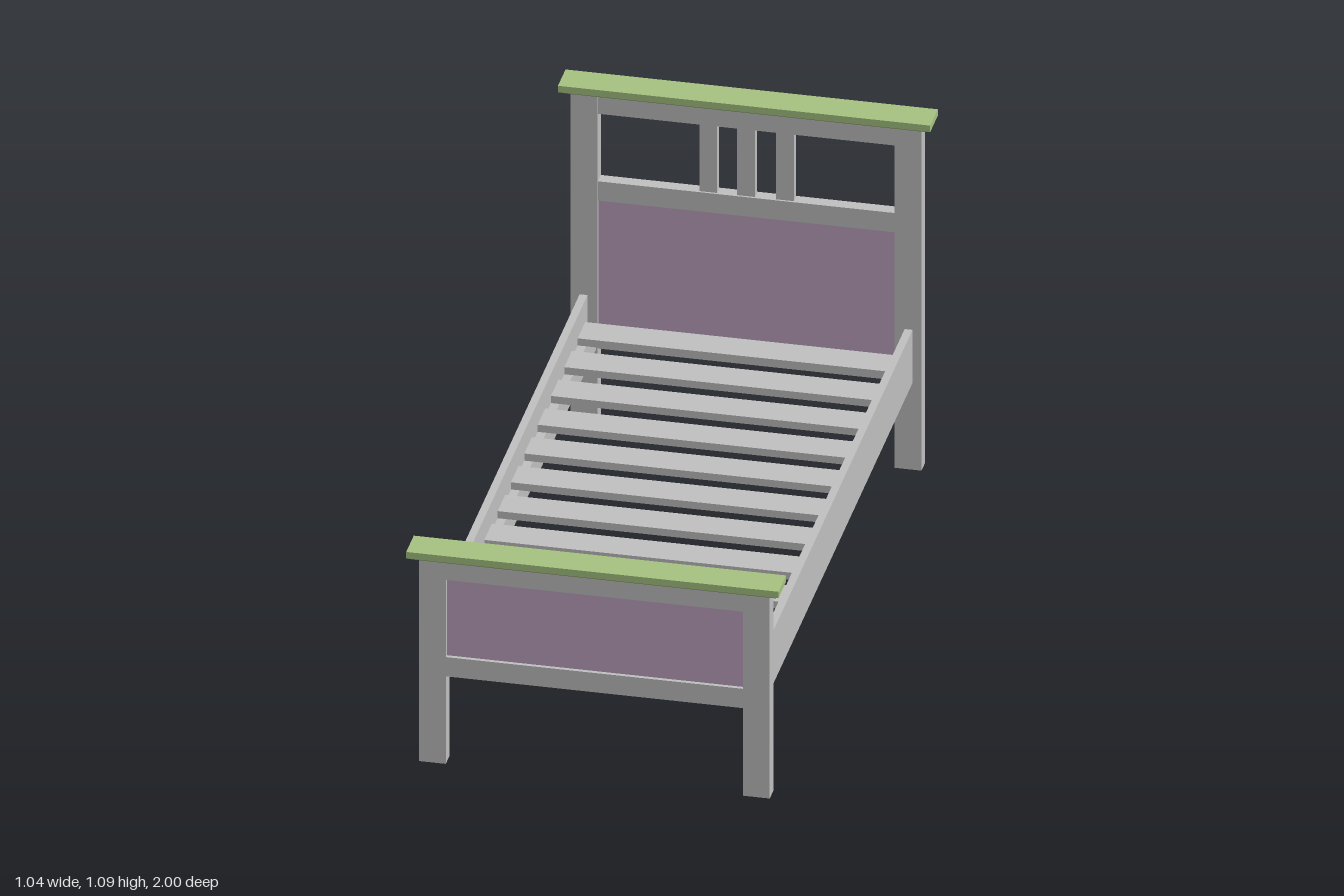
import * as THREE from 'three';

const frameGray = new THREE.MeshStandardMaterial({ color: 0xc2c2c2 });
const capGreen = new THREE.MeshStandardMaterial({ color: 0xa8c582 });
const panelPurple = new THREE.MeshStandardMaterial({ color: 0xbea4c2 });
frameGray.name = 'frameGray';
capGreen.name = 'capGreen';
panelPurple.name = 'panelPurple';

// Box given by its lower and upper limits on each axis
function box(parent, name, material, [x0, x1], [y0, y1], [z0, z1]) {
  const geometry = new THREE.BoxGeometry(x1 - x0, y1 - y0, z1 - z0);
  const mesh = new THREE.Mesh(geometry, material);
  mesh.position.set((x0 + x1) / 2, (y0 + y1) / 2, (z0 + z1) / 2);
  mesh.name = name;
  parent.add(mesh);
  return mesh;
}

const around = (centre, size) => [centre - size / 2, centre + size / 2];

// Cap board with a chamfered underside
function addCap(parent, y) {
  const cap = new THREE.Group();
  cap.name = 'cap';
  box(cap, 'capBoard', capGreen, [-0.52, 0.52], [y + 0.01, y + 0.03], [-0.0475, 0.0475]);
  const chamfer = box(cap, 'capChamfer', capGreen, [-0.52, 0.52], [y, y + 0.01], [-0.0475, 0.0475]);
  const p = chamfer.geometry.attributes.position;
  for (let i = 0; i < p.count; i++) {
    if (p.getY(i) < 0) {
      p.setX(i, p.getX(i) - Math.sign(p.getX(i)) * 0.015);
      p.setZ(i, p.getZ(i) - Math.sign(p.getZ(i)) * 0.015);
    }
  }
  chamfer.geometry = chamfer.geometry.toNonIndexed();
  chamfer.geometry.computeVertexNormals();
  parent.add(cap);
}

// Headboard or footboard: two posts, cross rails, a panel and a cap
function addEndBoard(parent, name, z, height, railBottoms, panelTop) {
  const board = new THREE.Group();
  board.name = name;
  board.position.z = z;
  for (const side of [-1, 1]) {
    box(board, side > 0 ? 'leftPost' : 'rightPost', frameGray,
      around(side * 0.4525, 0.075), [0, height], around(0, 0.045));
  }
  for (const y of railBottoms) {
    box(board, 'crossRail', frameGray, [-0.415, 0.415], [y, y + 0.06], around(0, 0.037));
  }
  box(board, 'panel', panelPurple, [-0.415, 0.415], [0.33, panelTop], around(0, 0.015));
  addCap(board, height);
  parent.add(board);
  return board;
}

export function createModel() {
  const bed = new THREE.Group();
  bed.name = 'bed';

  const headboard = addEndBoard(bed, 'headboard', -0.9525, 1.06, [0.27, 0.73, 1.0], 0.73);
  addEndBoard(bed, 'footboard', 0.9525, 0.63, [0.27, 0.57], 0.57);

  // Three upright bars in the headboard opening
  for (const x of [-0.108, -0.002, 0.106]) {
    box(headboard, 'spindle', frameGray, around(x, 0.05), [0.79, 1.0], around(0, 0.025));
  }

  // Side rails with inner ledges that carry the slats
  for (const side of [-1, 1]) {
    const label = side > 0 ? 'left' : 'right';
    box(bed, label + 'SideRail', frameGray, around(side * 0.454, 0.022), [0.27, 0.435], [-0.93, 0.93]);
    box(bed, label + 'Ledge', frameGray, around(side * 0.431, 0.024), [0.27, 0.345], [-0.93, 0.93]);
  }

  // Slats
  for (let i = 0; i < 11; i++) {
    box(bed, 'slat', frameGray, [-0.443, 0.443], [0.345, 0.367], around(-0.853 + i * 0.1673, 0.095));
  }

  return bed;
}
